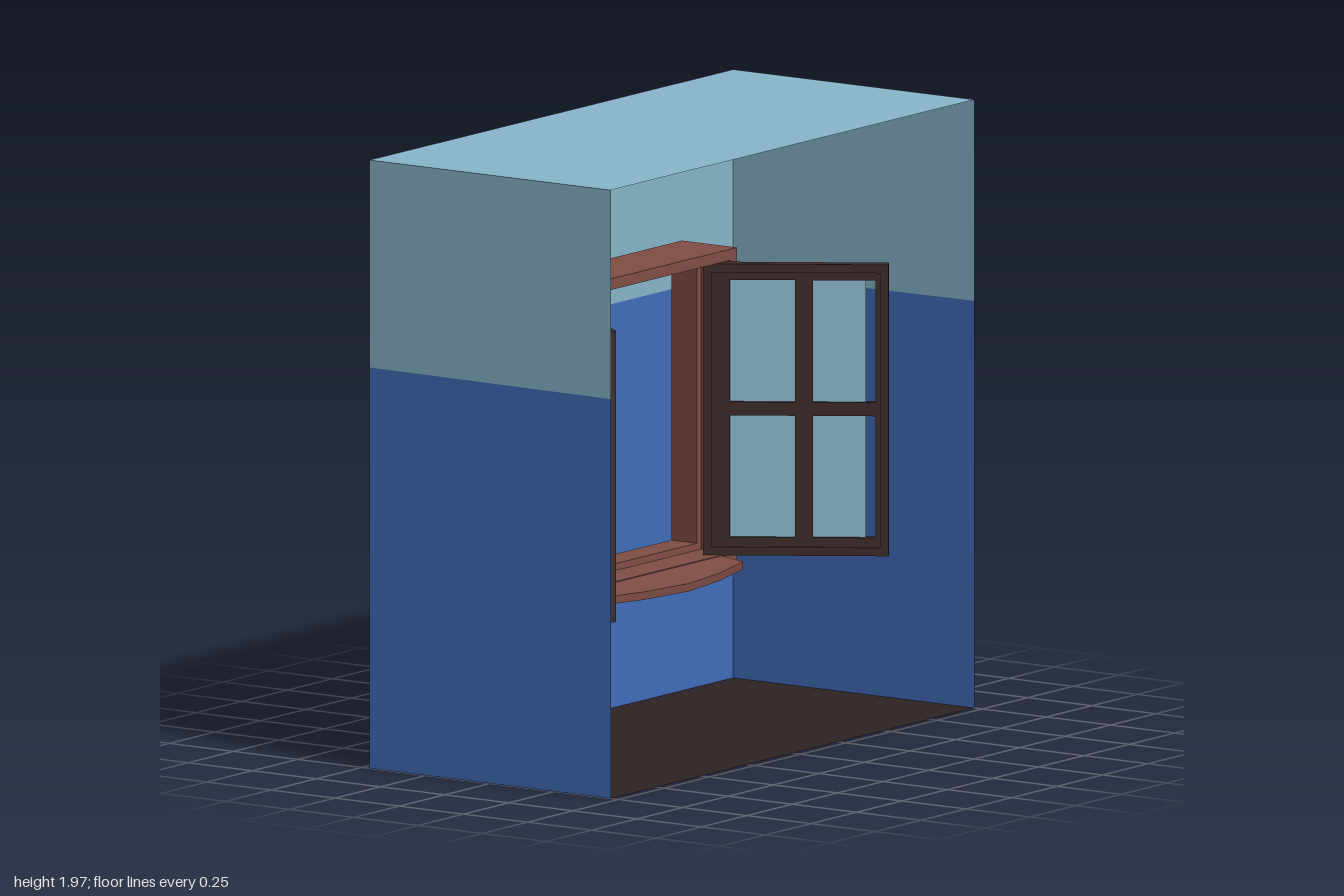
import * as THREE from 'three';

const mat = (name, color, side = THREE.FrontSide) => {
  const m = new THREE.MeshStandardMaterial({ color, side });
  m.name = name;
  return m;
};

export function createModel() {
  const model = new THREE.Group();
  model.name = 'roomWithWindow';
  const blue = mat('deep blue', 0x416dbb, THREE.DoubleSide);
  const pale = mat('pale blue', 0x88b6ca, THREE.DoubleSide);
  const floorBrown = mat('floor brown', 0x2d2221, THREE.DoubleSide);
  const wood = mat('red brown wood', 0x804e45);
  const darkWood = mat('dark wood', 0x3c2929);

  const W = 1, D = 0.47, H = 1.965;

  const add = (parent, name, geo, material) => {
    const mesh = new THREE.Mesh(geo, material);
    mesh.name = name;
    parent.add(mesh);
    return mesh;
  };
  // Box given by its minimum and maximum corners
  const block = (parent, name, material, x0, x1, y0, y1, z0, z1) => {
    const b = add(parent, name, new THREE.BoxGeometry(x1 - x0, y1 - y0, z1 - z0), material);
    b.position.set((x0 + x1) / 2, (y0 + y1) / 2, (z0 + z1) / 2);
    return b;
  };
  // Flat wall split into a lower and an upper colour along a line of points
  const wall = (name, half, line) => {
    const g = new THREE.Group();
    g.name = name;
    const face = (label, y, material) => {
      const pts = [[-half, y], ...line, [half, y]].map(p => new THREE.Vector2(...p));
      add(g, label, new THREE.ShapeGeometry(new THREE.Shape(pts)), material);
    };
    face(name + 'Lower', 0, blue);
    face(name + 'Upper', H, pale);
    model.add(g);
    return g;
  };

  // Open-fronted room shell
  wall('backWall', W, [[-1, 1.29], [-0.93, 1.296], [-0.9, 1.305],
    [0.9, 1.305], [0.96, 1.318], [1, 1.318]]).position.z = -D;
  const left = wall('leftWall', D, [[-D, 1.315], [D, 1.31]]);
  left.position.x = W;
  left.rotation.y = Math.PI / 2;
  const right = wall('rightWall', D, [[-D, 1.29], [D, 1.295]]);
  right.position.x = -W;
  right.rotation.y = Math.PI / 2;
  for (const [name, y, m] of [['floor', 0, floorBrown], ['ceiling', H, pale]]) {
    const p = add(model, name, new THREE.PlaneGeometry(2 * W, 2 * D), m);
    p.rotation.x = -Math.PI / 2;
    p.position.y = y;
  }

  // Rectangular ring, extruded from z0 to z1
  const ring = (parent, name, material, x0, x1, y0, y1, t, z0, z1) => {
    const rect = (C, a, b, c, d) => new C([[a, c], [b, c], [b, d], [a, d]].map(p => new THREE.Vector2(...p)));
    const s = rect(THREE.Shape, x0, x1, y0, y1);
    s.holes.push(rect(THREE.Path, x0 + t, x1 - t, y0 + t, y1 - t));
    const geo = new THREE.ExtrudeGeometry(s, { depth: z1 - z0, bevelEnabled: false });
    add(parent, name, geo, material).position.z = z0;
  };

  // Stepped window frame
  const frame = new THREE.Group();
  frame.name = 'windowFrame';
  model.add(frame);
  ring(frame, 'outerFrame', wood, -0.485, 0.52, 0.48, 1.497, 0.036, -0.33, -0.115);
  ring(frame, 'innerFrame', wood, -0.449, 0.484, 0.516, 1.461, 0.022, -0.33, -0.23);

  // Bowed window sill, flat in plan and tipped slightly forward
  const plan = [[-0.43, 0], [-0.4, 0.095], [-0.2, 0.145], [0.017, 0.17],
    [0.23, 0.145], [0.42, 0.095], [0.44, 0]].map(([x, z]) => new THREE.Vector2(x, -z));
  const sill = add(frame, 'windowSill', new THREE.ExtrudeGeometry(new THREE.Shape(plan),
    { depth: 0.026, bevelEnabled: false }), wood);
  sill.rotation.x = -Math.PI / 2 + 0.06;
  sill.position.set(0, 0.487, -0.118);

  // Casement leaf: hinge at local x = 0, side sets where its thickness lies
  const L = 0.59, T = 0.042, Y0 = 0.515, Y1 = 1.456;
  const leaf = (name, hx, dx, dz, side) => {
    const g = new THREE.Group();
    g.name = name;
    g.position.set(hx, 0, -0.165);
    g.rotation.y = Math.atan2(-dz, dx);
    model.add(g);
    const mid = side * T / 2;
    const part = (label, m, x0, x1, y0, y1, t) => block(g, label, m, x0, x1, y0, y1, mid - t / 2, mid + t / 2);
    ring(g, 'leafRim', darkWood, 0, L, Y0, Y1, 0.027, mid - T / 2, mid + T / 2);
    // recessed stiles, rails and glazing bars
    const bead = T - 0.012;
    part('hingeStile', darkWood, 0.027, 0.085, Y0 + 0.027, Y1 - 0.027, bead);
    part('freeStile', darkWood, 0.548, L - 0.027, Y0 + 0.027, Y1 - 0.027, bead);
    part('bottomRail', darkWood, 0.085, 0.548, Y0 + 0.027, 0.573, bead);
    part('topRail', darkWood, 0.085, 0.548, 1.404, Y1 - 0.027, bead);
    part('uprightBar', darkWood, 0.292, 0.35, 0.573, 1.404, bead);
    for (const [a, b] of [[0.085, 0.292], [0.35, 0.548]])
      part('crossBar', darkWood, a, b, 0.966, 1.01, bead);
    // panes, stopping just short of the free stile
    for (const [a, b] of [[0.085, 0.292], [0.35, 0.518]])
      for (const [c, d] of [[0.573, 0.966], [1.01, 1.404]])
        part('glassPane', pale, a, b, c, d, 0.008);
  };
  leaf('rightLeaf', -0.387, -0.6, 0.8, 1);
  leaf('leftLeaf', 0.403, 0.55, 0.835, -1);

  return model;
}
